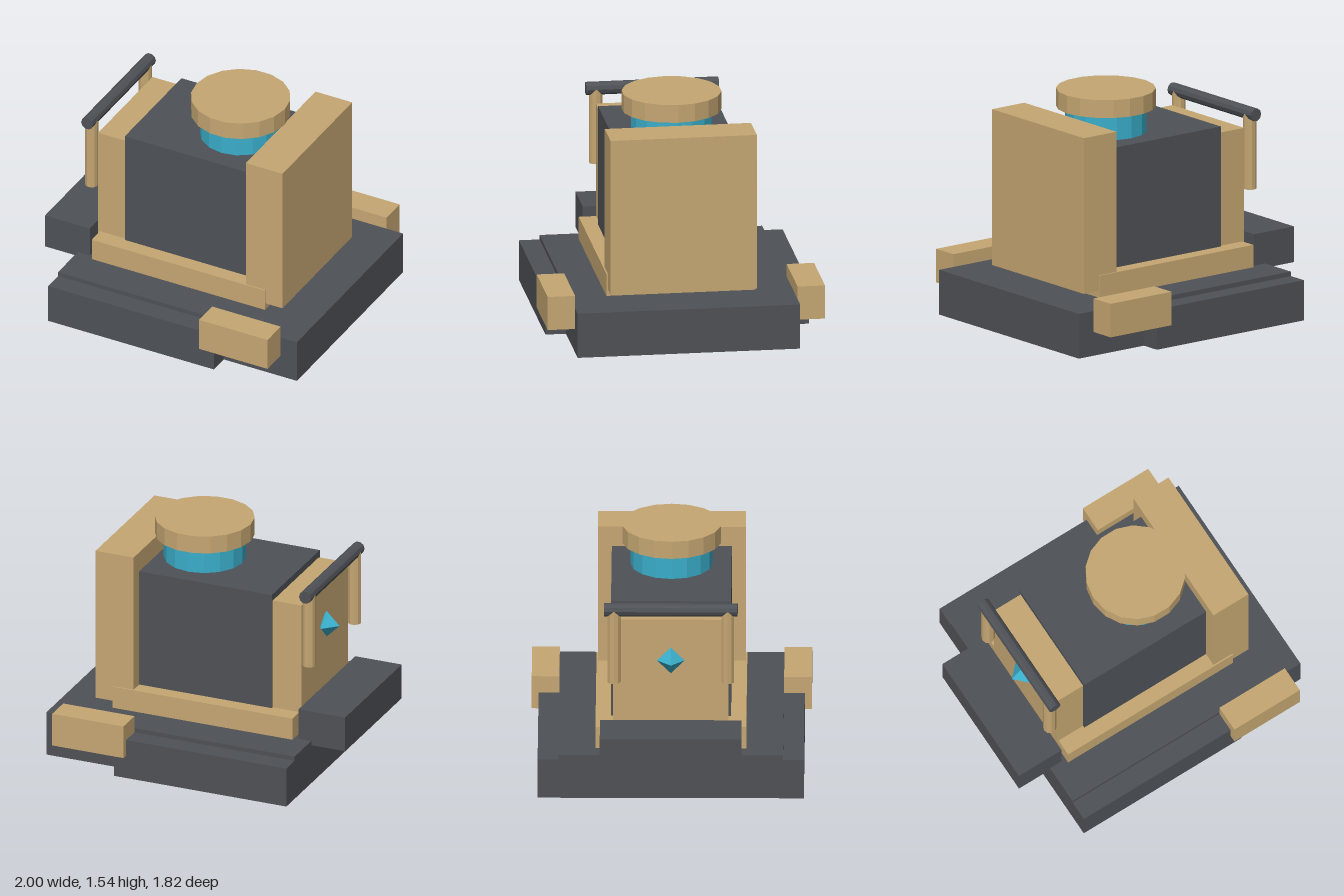
import * as THREE from 'three';

export function createModel() {
  const model = new THREE.Group();
  model.name = 'machine';
  const mat = (name, color) => {
    const m = new THREE.MeshStandardMaterial({ color, flatShading: true });
    m.name = name;
    return m;
  };
  const slate = mat('slate', 0x4e5156);
  const tan = mat('tan', 0xc5a672);
  const teal = mat('teal', 0x3aaeca);

  const add = (name, geometry, material, x, y, z) => {
    const mesh = new THREE.Mesh(geometry, material);
    mesh.name = name;
    mesh.position.set(x, y, z);
    model.add(mesh);
    return mesh;
  };
  // Box from its lower and upper corners
  const box = (name, material, [x0, y0, z0], [x1, y1, z1]) =>
    add(name, new THREE.BoxGeometry(x1 - x0, y1 - y0, z1 - z0), material,
      (x0 + x1) / 2, (y0 + y1) / 2, (z0 + z1) / 2);
  // Upright cylinder with a corner facing +x
  const drum = (name, material, r, y0, y1, sides, x, z) =>
    add(name, new THREE.CylinderGeometry(r, r, y1 - y0, sides, 1, false, Math.PI / 2),
      material, x, (y0 + y1) / 2, z);

  // Stepped base
  box('base', slate, [-0.76, 0, -0.73], [1, 0.3, 0.73]);
  for (const s of [-1, 1]) {
    const z = [0.73 * s, 0.865 * s].sort((a, b) => a - b);
    box('sideStep', slate, [-0.76, 0, z[0]], [0.46, 0.27, z[1]]);
    const w = [0.73 * s, 0.91 * s].sort((a, b) => a - b);
    box('sideBlock', tan, [0.375, 0.16, w[0]], [0.88, 0.385, w[1]]);
  }
  box('endStep', slate, [-1, 0.27, -0.46], [-0.67, 0.51, 0.46]);

  // Body on its plinth
  box('plinth', tan, [-0.64, 0.3, -0.49], [0.635, 0.45, 0.49]);
  box('body', slate, [-0.45, 0.45, -0.39], [0.49, 1.255, 0.39]);
  box('tallPanel', tan, [0.49, 0.345, -0.48], [0.76, 1.39, 0.48]);
  box('lowPanel', tan, [-0.655, 0.4, -0.375], [-0.45, 1.21, 0.375]);

  // Hatch on top
  drum('hatchNeck', teal, 0.267, 1.255, 1.42, 16, 0.195, 0);
  drum('hatchCap', tan, 0.325, 1.42, 1.54, 18, 0.195, 0);

  // Handle and its posts
  for (const s of [-1, 1]) drum('handlePost', tan, 0.044, 0.795, 1.3, 10, -0.705, 0.37 * s);
  const bar = drum('handleBar', slate, 0.043, 0, 0.87, 10, -0.705, 0);
  bar.position.y = 1.3;
  bar.rotation.x = Math.PI / 2;

  // Gem set in the end panel
  add('gem', new THREE.OctahedronGeometry(0.09), teal, -0.67, 0.93, 0);

  return model;
}
